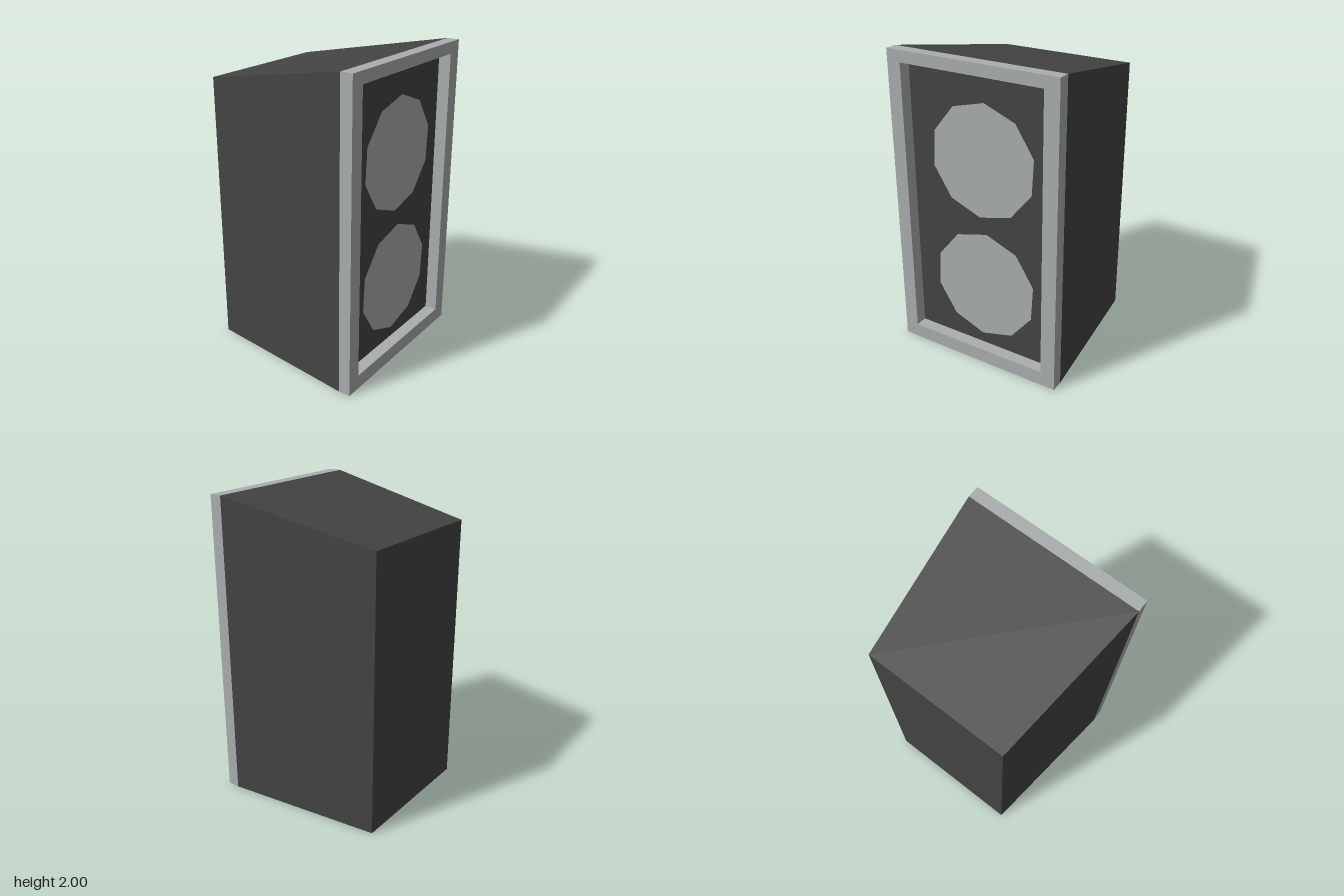
import * as THREE from 'three';

const FRONT = 0.48, BACK = -0.56, FACE = 0.56;

export function createModel() {
  const group = new THREE.Group();
  const charcoal = new THREE.MeshStandardMaterial({ color: 0x444444, flatShading: true });
  charcoal.name = 'charcoal';
  const silver = new THREE.MeshStandardMaterial({ color: 0xaaaeae, flatShading: true });
  silver.name = 'silver grey';

  const add = (name, geometry, material) => {
    const mesh = new THREE.Mesh(geometry, material);
    mesh.name = name;
    group.add(mesh);
    return mesh;
  };

  // Cabinet: box narrowed towards the back, with a top sloping down to the rear
  const cabinet = new THREE.BoxGeometry(1.17, 2, FRONT - BACK);
  cabinet.translate(0, 1, (FRONT + BACK) / 2);
  const p = cabinet.attributes.position;
  for (let i = 0; i < p.count; i++) {
    if (p.getZ(i) < 0) {
      p.setX(i, Math.sign(p.getX(i)) * 0.47);
      if (p.getY(i) > 1) p.setY(i, 1.805);
    }
  }
  cabinet.computeVertexNormals();
  add('cabinet', cabinet, charcoal);

  // Raised rectangular frame around the front
  const rectangle = (Type, x0, y0, x1, y1) => new Type([
    new THREE.Vector2(x0, y0), new THREE.Vector2(x1, y0),
    new THREE.Vector2(x1, y1), new THREE.Vector2(x0, y1),
  ]);
  const outline = rectangle(THREE.Shape, -0.585, 0, 0.585, 2);
  outline.holes.push(rectangle(THREE.Path, -0.49, 0.095, 0.487, 1.925));
  const frame = new THREE.ExtrudeGeometry(outline, { depth: FACE - FRONT, bevelEnabled: false });
  add('frontFrame', frame.translate(0, 0, FRONT), silver);

  // Two flat ten-sided speaker cones on the recessed front
  const cone = new THREE.CircleGeometry(0.37, 10, THREE.MathUtils.degToRad(86.6));
  [['upperCone', 1.38], ['lowerCone', 0.535]].forEach(([name, y]) => {
    add(name, cone, silver).position.set(0.025, y, FRONT + 0.003);
  });

  return group;
}
